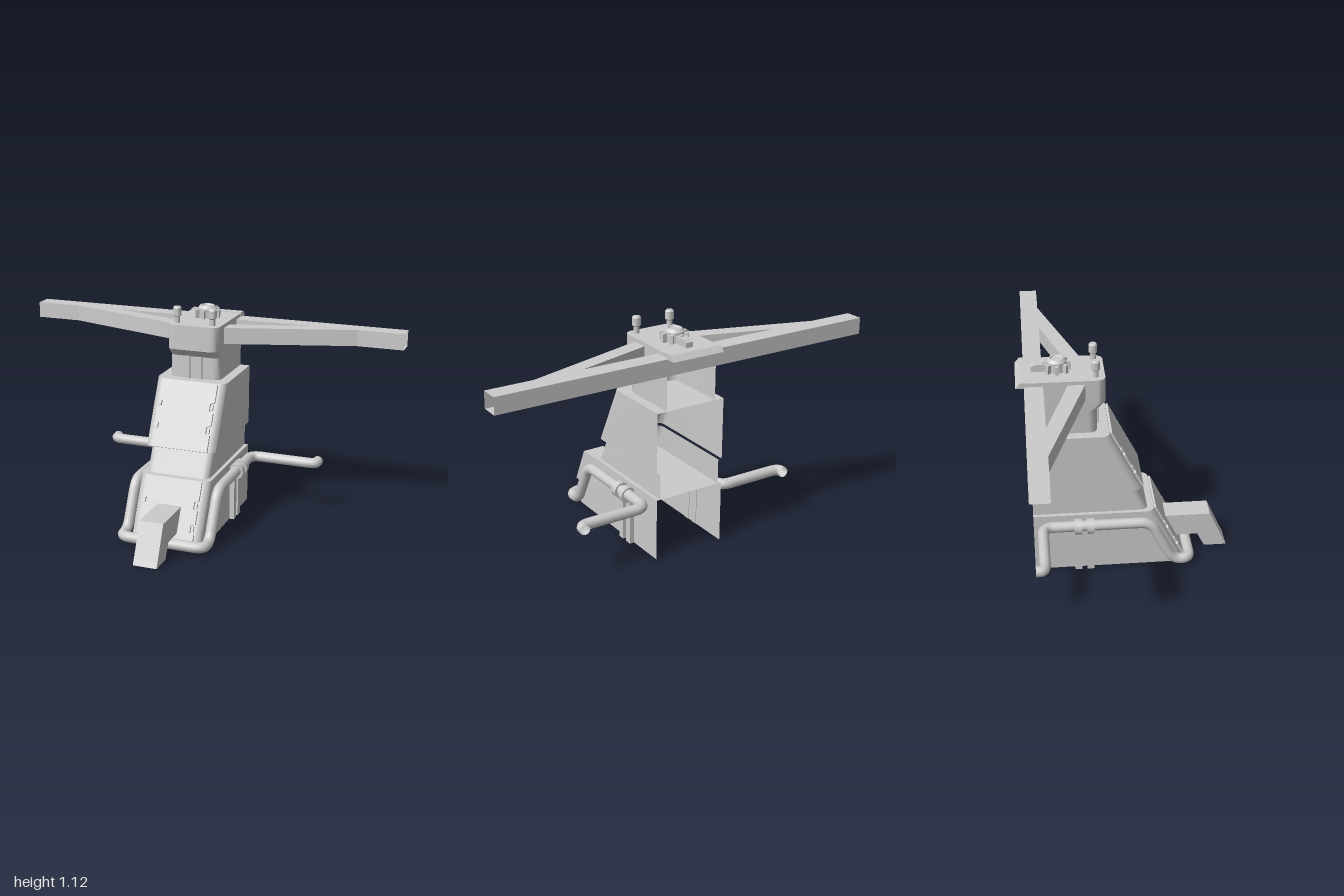
import * as THREE from 'three';
import { toCreasedNormals } from 'three/addons/utils/BufferGeometryUtils.js';

const mat = new THREE.MeshStandardMaterial({ color: 0xcccccc, side: THREE.DoubleSide });
const BACK = -0.47;

function add(parent, name, geo, x = 0, y = 0, z = 0) {
  const m = new THREE.Mesh(geo, mat);
  m.name = name;
  m.position.set(x, y, z);
  parent.add(m);
  return m;
}

// U-shaped outline in x,z with rounded front corners, open at the back
function outline(hw, front, r) {
  const pts = [[hw, BACK]];
  const n = 6;
  for (const side of [1, -1]) {
    for (let i = 0; i <= n; i++) {
      const t = (side > 0 ? i : n - i) / n * Math.PI / 2;
      pts.push([side * (hw - r + r * Math.cos(t)), front - r + r * Math.sin(t)]);
    }
  }
  pts.push([-hw, BACK]);
  return pts;
}

// Thin wall lofted through levels [y, front z]
function wall(hw, r, levels) {
  const pos = [], idx = [];
  const rows = levels.map(([y, f]) => outline(hw, f, r).map(([x, z]) => [x, y, z]));
  const n = rows[0].length;
  rows.forEach(row => row.forEach(p => pos.push(...p)));
  for (let j = 0; j < rows.length - 1; j++) {
    for (let i = 0; i < n - 1; i++) {
      const a = j * n + i, b = a + 1, c = a + n, d = c + 1;
      idx.push(a, c, b, b, c, d);
    }
  }
  const g = new THREE.BufferGeometry();
  g.setAttribute('position', new THREE.Float32BufferAttribute(pos, 3));
  g.setIndex(idx);
  return toCreasedNormals(g, 0.6);
}

// Flat lid over an outline, facing up
function lid(hw, front, r) {
  const s = new THREE.Shape(outline(hw, front, r).map(([x, z]) => new THREE.Vector2(x, -z)));
  return new THREE.ShapeGeometry(s).rotateX(-Math.PI / 2);
}

function extrude(pts, depth) {
  const s = new THREE.Shape(pts.map(p => new THREE.Vector2(...p)));
  return new THREE.ExtrudeGeometry(s, { depth, bevelEnabled: false });
}

// Side profile (z, y) extruded across x and centred
const profileX = (pts, width) =>
  extrude(pts.map(([z, y]) => [-z, y]), width).rotateY(Math.PI / 2).translate(-width / 2, 0, 0);

// Polyline with rounded corners
function roundedPath(points, r) {
  const path = new THREE.CurvePath();
  let from = points[0];
  for (let i = 1; i < points.length - 1; i++) {
    const p = points[i], q = points[i + 1];
    const cut = (o) => p.clone().add(o.clone().sub(p).setLength(Math.min(r, p.distanceTo(o) * 0.48)));
    const a = cut(points[i - 1]), b = cut(q);
    path.add(new THREE.LineCurve3(from, a));
    path.add(new THREE.QuadraticBezierCurve3(a, p, b));
    from = b;
  }
  path.add(new THREE.LineCurve3(from, points[points.length - 1]));
  return path;
}

// Sloping front panel with hinge notches along both edges
function frontPanel(parent, name, y, z) {
  const w = 0.148, len = 0.345, d = 0.022;
  const right = [[w, 0]];
  for (const v of [0.11, 0.225]) {
    right.push([w, v - 0.025], [w - d, v - 0.018], [w - d, v + 0.018], [w, v + 0.025]);
  }
  right.push([w, len]);
  const left = right.map(([x, v]) => [-x, v]).reverse();
  const g = new THREE.Group();
  g.name = name;
  g.position.set(0, y, z);
  g.rotation.x = -Math.atan(0.5);
  add(g, 'panelPlate', extrude([...right, ...left], 0.012));
  for (const s of [-1, 1]) {
    for (const v of [0.11, 0.225]) {
      add(g, 'panelHinge', new THREE.BoxGeometry(0.012, 0.026, 0.012), s * 0.137, v, 0.006);
    }
  }
  parent.add(g);
}

export function createModel() {
  const root = new THREE.Group();
  root.name = 'pedestal';

  // Tiered housing, open at the back and underneath
  add(root, 'lowerHousing', wall(0.185, 0.04, [[0, 0.288], [0.313, 0.133]]));
  add(root, 'lowerLedge', lid(0.185, 0.133, 0.04), 0, 0.313);
  add(root, 'middleBand', wall(0.165, 0.035, [[0.313, 0.10], [0.44, 0.038]]));
  add(root, 'upperHousing', wall(0.185, 0.04, [[0.44, 0.07], [0.752, -0.086]]));
  add(root, 'upperLedge', lid(0.185, -0.086, 0.04), 0, 0.752);
  frontPanel(root, 'lowerFrontPanel', 0, 0.288);
  frontPanel(root, 'upperFrontPanel', 0.44, 0.07);

  // Neck and head
  add(root, 'neckAndHead', wall(0.135, 0.04, [[0.752, -0.142], [0.865, -0.142], [0.905, -0.10], [1.03, -0.10]]));
  add(root, 'headTop', lid(0.135, -0.10, 0.04), 0, 1.03);
  for (const s of [-1, 1]) {
    add(root, 'neckRib', new THREE.BoxGeometry(0.02, 0.115, 0.03), s * 0.032, 0.809, -0.144);
  }
  add(root, 'rearLip', profileX([[-0.46, 1.033], [-0.502, 1.033], [-0.525, 1.006], [-0.46, 1.006]], 0.275));

  // Hollow crossbeam with open ends, braced by diagonal struts
  const beam = new THREE.BoxGeometry(2, 0.082, 0.09);
  beam.setIndex(Array.from(beam.index.array).slice(12));
  add(root, 'crossbeam', beam, 0, 0.97, -0.44);
  for (const s of [-1, 1]) {
    const pts = [[0.125, -0.195], [0.77, -0.396], [0.53, -0.396], [0.125, -0.277]];
    const strut = extrude(pts.map(([x, z]) => [s * x, z]), 0.082).rotateX(Math.PI / 2);
    add(root, 'beamStrut', strut, 0, 1.011, 0);
  }

  // Front foot
  add(root, 'frontFoot', profileX(
    [[0.51, 0.03], [0.435, 0.195], [0.19, 0.195], [0.25, 0.075], [0.372, 0.075], [0.395, 0.03]], 0.122));
  add(root, 'footPad', profileX([[0.525, 0], [0.51, 0.03], [0.395, 0.03], [0.41, 0]], 0.122));

  // Tubular rail wrapping the front, with arms turned out at the rear
  const half = [[0.572, 0.27, -0.47], [0.572, 0.27, -0.425], [0.218, 0.27, -0.425],
    [0.218, 0.27, 0.11], [0.218, 0.04, 0.225], [0.218, 0.04, 0.312]];
  const full = [...half, ...half.map(([x, y, z]) => [-x, y, z]).reverse()];
  const path = roundedPath(full.map(p => new THREE.Vector3(...p)), 0.055);
  add(root, 'rail', new THREE.TubeGeometry(path, 300, 0.027, 12));

  // Rail clamps and the straps below them
  for (const s of [-1, 1]) {
    for (const z of [-0.19, -0.252]) {
      add(root, 'railClamp', toCreasedNormals(
        new THREE.CylinderGeometry(0.04, 0.04, 0.036, 16).rotateX(Math.PI / 2), 0.6), s * 0.216, 0.266, z);
      add(root, 'clampStrap', new THREE.BoxGeometry(0.028, 0.24, 0.036), s * 0.196, 0.12, z);
    }
  }

  // Two knobs on the head
  const knob = [[0, 0], [0.014, 0], [0.014, 0.032], [0.021, 0.038], [0.021, 0.076], [0.016, 0.083], [0, 0.083]];
  for (const s of [-1, 1]) {
    add(root, 'knob', toCreasedNormals(
      new THREE.LatheGeometry(knob.map(p => new THREE.Vector2(...p)), 14), 0.5), s * 0.093, 1.032, -0.145);
  }

  // Toothed dial with a rear latch
  const dial = new THREE.Group();
  dial.name = 'dial';
  dial.position.set(0, 1.03, -0.325);
  const hub = [[0, 0], [0.048, 0], [0.048, 0.048], [0.036, 0.062], [0.03, 0.062], [0.026, 0.056], [0, 0.056]];
  add(dial, 'dialHub', toCreasedNormals(
    new THREE.LatheGeometry(hub.map(p => new THREE.Vector2(...p)), 16), 0.5));
  for (let i = 0; i < 8; i++) {
    const a = i * Math.PI / 4;
    add(dial, 'dialTooth', new THREE.BoxGeometry(0.025, 0.042, 0.016),
      0.055 * Math.cos(a), 0.021, 0.055 * Math.sin(a)).rotation.y = -a;
  }
  add(dial, 'latch', profileX([[-0.04, 0], [-0.04, 0.036], [-0.11, 0.036], [-0.124, 0.024], [-0.124, 0]], 0.04));
  root.add(dial);

  return root;
}
